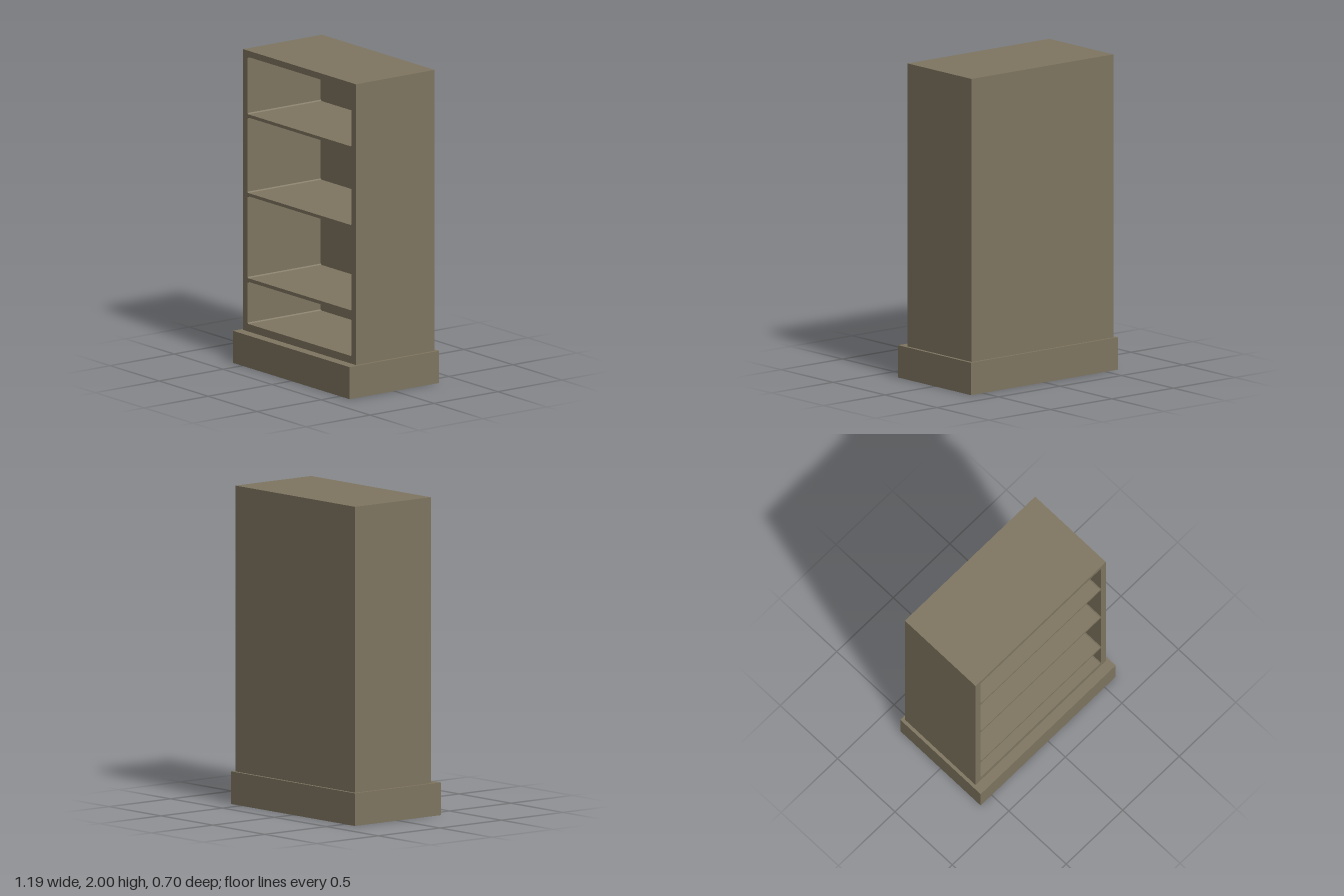
import * as THREE from 'three';

// Rectangle outline with optionally clipped corners
function outline(x0, x1, y0, y1, c = 0) {
  const pts = c
    ? [[x0 + c, y0], [x1 - c, y0], [x1, y0 + c], [x1, y1 - c], [x1 - c, y1], [x0 + c, y1], [x0, y1 - c], [x0, y0 + c]]
    : [[x0, y0], [x1, y0], [x1, y1], [x0, y1]];
  return pts.map(([x, y]) => new THREE.Vector2(x, y));
}

// Flat sheet in the XY plane, with holes
function sheet(points, holes = []) {
  const shape = new THREE.Shape(points);
  shape.holes = holes.map((h) => new THREE.Path(h));
  return new THREE.ShapeGeometry(shape);
}

// Band of walls following an outline from depth a to depth b, leaving out
// the first walls if asked; faces outward, or inward when inside is true
function band(points, a, b, { inside = false, skip = 0 } = {}) {
  const pos = [];
  for (let i = skip; i < points.length; i++) {
    const p = points[i];
    const q = points[(i + 1) % points.length];
    const [s, e] = inside ? [q, p] : [p, q];
    pos.push(s.x, s.y, a, e.x, e.y, a, e.x, e.y, b, s.x, s.y, a, e.x, e.y, b, s.x, s.y, b);
  }
  const g = new THREE.BufferGeometry();
  g.setAttribute('position', new THREE.Float32BufferAttribute(pos, 3));
  g.computeVertexNormals();
  return g;
}

export function createModel() {
  const group = new THREE.Group();
  const wood = new THREE.MeshStandardMaterial({ color: 0x7e7560, side: THREE.DoubleSide });
  wood.name = 'olive brown wood';

  const add = (name, geometry, parent = group) => {
    const mesh = new THREE.Mesh(geometry, wood);
    mesh.name = name;
    parent.add(mesh);
    return mesh;
  };
  const upright = (g) => g.rotateX(-Math.PI / 2); // outline (x, -z), depth becomes y

  const W = 0.576, BACK = -0.331, FRONT = 0.285, TOP = 2, BASE = 0.205;
  const plan = outline(-W, W, -FRONT, -BACK); // first wall is the front
  const plinthPlan = outline(-0.597, 0.597, -0.35, 0.35);

  // Plinth: open below, with a ledge around the hollow cabinet
  add('plinthWalls', upright(band(plinthPlan, 0, BASE)));
  add('plinthLedge', upright(sheet(plinthPlan, [plan]))).position.y = BASE;

  // Cabinet shell, open at the front
  add('cabinetSidesAndBack', upright(band(plan, BASE, TOP, { skip: 1 })));
  add('cabinetTop', upright(sheet(plan))).position.y = TOP;

  // Face frame with four openings, each lined by a recessed compartment
  const openings = [[0.253, 0.523], [0.545, 1.07], [1.09, 1.573], [1.593, 1.96]]
    .map(([y0, y1]) => outline(-0.532, 0.532, y0, y1, 0.007));
  add('faceFrame', sheet(outline(-W, W, BASE, TOP), openings)).position.z = FRONT;

  const RECESS = -0.288;
  openings.forEach((o) => {
    const compartment = new THREE.Group();
    compartment.name = 'shelfCompartment';
    add('compartmentLining', band(o, RECESS, FRONT, { inside: true }), compartment);
    add('compartmentBack', sheet(o), compartment).position.z = RECESS;
    group.add(compartment);
  });

  return group;
}
